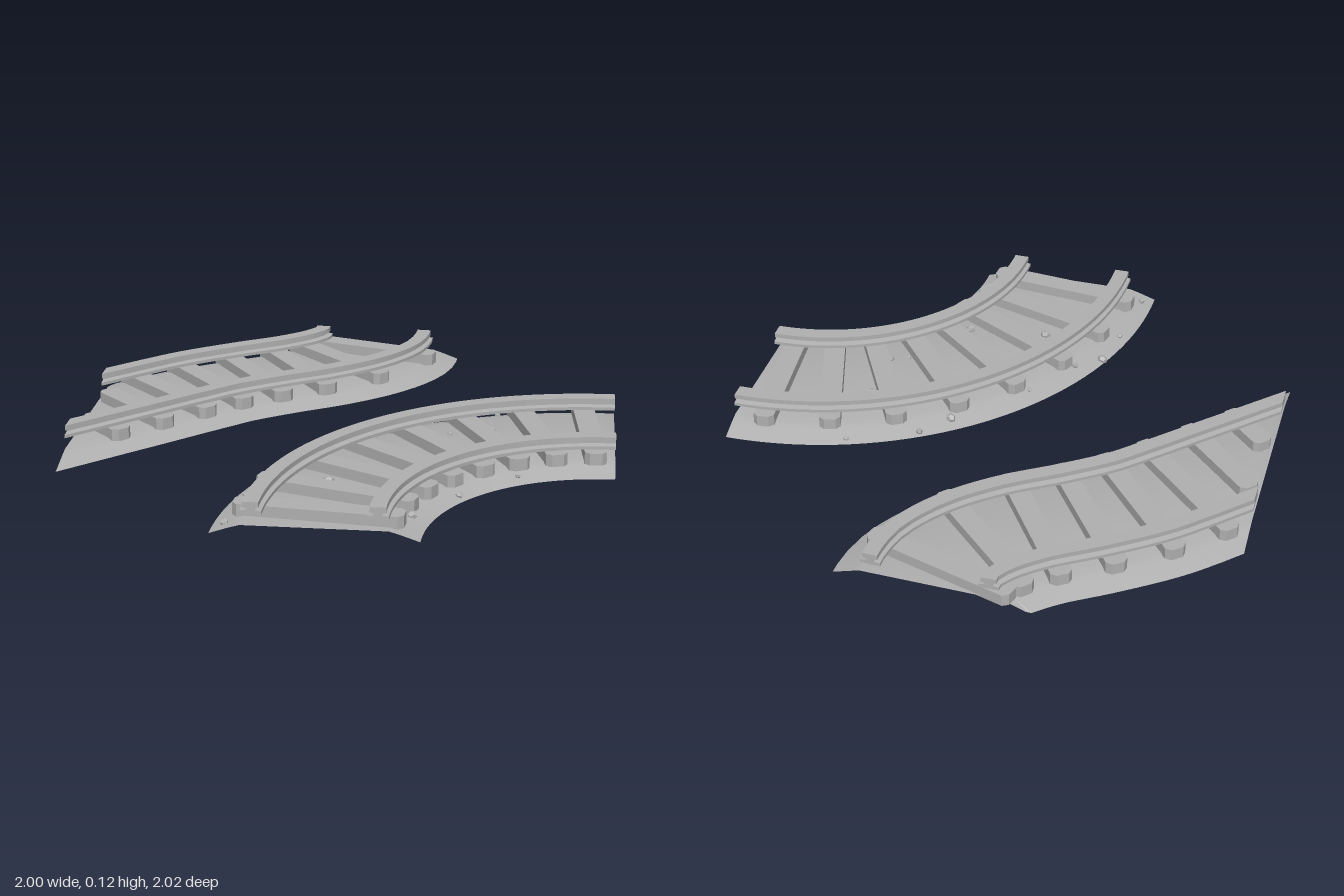
import * as THREE from 'three';
import { toCreasedNormals } from 'three/addons/utils/BufferGeometryUtils.js';

const stone = new THREE.MeshStandardMaterial({ color: 0xb0b0b0, side: THREE.DoubleSide });
stone.name = 'stone grey';

// Cross-sections as [sideways offset, height]
const BED = [[0.355, 0.002], [0.285, 0.026], [0.25, 0.036], [-0.25, 0.036], [-0.285, 0.026], [-0.355, 0.002]];
const RAIL = [[-0.037, 0.076], [0.037, 0.076], [0.037, 0.088], [0.014, 0.092], [0.014, 0.098], [0.028, 0.102],
  [0.028, 0.12], [-0.028, 0.12], [-0.028, 0.102], [-0.014, 0.098], [-0.014, 0.092], [-0.037, 0.088]];

// Frame of a path at distance s: point, forward and sideways directions
function frameAt(path, s) {
  const u = THREE.MathUtils.clamp(s / path.length, 0, 1);
  const p = path.curve.getPointAt(u);
  const t = path.curve.getTangentAt(u);
  p.addScaledVector(t, s - u * path.length);
  return { p, t, n: new THREE.Vector3(t.z, 0, -t.x) };
}

// Sweep a profile along a path, with the end cut on a slant where asked
function sweep(path, profile, closed, shift = 0) {
  const steps = 40, rings = [], pos = [];
  for (let i = 0; i <= steps; i++) {
    const s = path.length * i / steps;
    const { p, t, n } = frameAt(path, s);
    const k = path.slant ? Math.max(0, 1 - (path.length - s) / 0.5) : 0;
    rings.push(profile.map(([d, y]) => {
      const v = p.clone().addScaledVector(n, d + shift).addScaledVector(t, (d + shift) * k);
      v.set(Math.max(-1, v.x), y, Math.max(-1, v.z));
      return v;
    }));
  }
  const tri = (...vs) => vs.forEach(v => pos.push(v.x, v.y, v.z));
  const m = profile.length;
  for (let i = 0; i < steps; i++) {
    for (let j = 0; j < (closed ? m : m - 1); j++) {
      const a = rings[i][j], b = rings[i][(j + 1) % m];
      const c = rings[i + 1][(j + 1) % m], d = rings[i + 1][j];
      tri(a, b, c);
      tri(a, c, d);
    }
  }
  if (closed) {
    const flat = profile.map(([d, y]) => new THREE.Vector2(d, y));
    for (const [a, b, c] of THREE.ShapeUtils.triangulateShape(flat, [])) {
      tri(rings[0][c], rings[0][b], rings[0][a]);
      tri(rings[steps][a], rings[steps][b], rings[steps][c]);
    }
  }
  const g = new THREE.BufferGeometry();
  g.setAttribute('position', new THREE.Float32BufferAttribute(pos, 3));
  return toCreasedNormals(g, 0.3);
}

// Sleeper block with chamfered ends, spanning offsets lo to hi
function sleeperGeometry(lo, hi) {
  const w = 0.04, c = Math.min(0.018, (hi - lo) / 3);
  const shape = new THREE.Shape([[lo, -w + c], [lo + c, -w], [hi - c, -w], [hi, -w + c],
    [hi, w - c], [hi - c, w], [lo + c, w], [lo, w - c]].map(([x, y]) => new THREE.Vector2(x, y)));
  const g = new THREE.ExtrudeGeometry(shape, { depth: 0.045, bevelEnabled: false });
  return g.rotateX(-Math.PI / 2);
}

function add(group, name, geometry) {
  const mesh = new THREE.Mesh(geometry, stone);
  mesh.name = name;
  group.add(mesh);
  return mesh;
}

// One complete piece of track
function buildTrack(name, path) {
  const track = new THREE.Group();
  track.name = name;
  add(track, 'gravelBed', sweep(path, BED, false));
  for (const side of [-1, 1]) add(track, side < 0 ? 'railA' : 'railB', sweep(path, RAIL, true, side * 0.213));
  const gap = Math.PI / 16;
  for (let s = gap / 2; s < path.length + 0.25; s += gap) {
    const lo = path.slant ? Math.max(-0.295, s + 0.04 - path.length) : -0.295;
    if (lo > 0.23 || (!path.slant && s > path.length)) continue;
    const { p, n } = frameAt(path, s);
    const sleeper = add(track, 'sleeper', sleeperGeometry(lo, 0.295));
    sleeper.position.set(p.x, 0.031, p.z);
    sleeper.rotation.y = Math.atan2(-n.z, n.x);
  }
  return track;
}

export function createModel() {
  const model = new THREE.Group();
  model.name = 'railTracks';

  // Quarter circle round the corner at (1, 1)
  const arc = new THREE.Curve();
  arc.getPoint = (u, v = new THREE.Vector3()) =>
    v.set(1 - Math.cos(u * Math.PI / 2), 0, 1 - Math.sin(u * Math.PI / 2));
  arc.getTangent = (u, v = new THREE.Vector3()) =>
    v.set(Math.sin(u * Math.PI / 2), 0, -Math.cos(u * Math.PI / 2));
  const bend = buildTrack('curvedTrack', { curve: arc, length: Math.PI / 2, slant: false });
  model.add(bend);

  // S-bend running into a diagonal, cut flush at x = -1
  const wave = new THREE.CatmullRomCurve3([[0, -1], [-0.003, -0.95], [-0.022, -0.88], [-0.1, -0.765],
    [-0.235, -0.645], [-0.42, -0.525], [-0.6, -0.395], [-0.7, -0.3], [-0.85, -0.15], [-1, 0]]
    .map(([x, z]) => new THREE.Vector3(x, 0, z)));
  model.add(buildTrack('waveTrack', { curve: wave, length: wave.getLength(), slant: true }));

  // Loose pebbles on the curved track
  const spots = [[0.555, -0.255], [0.305, -0.14], [0.21, -0.04], [0.39, 0.05], [0.36, 0.11], [0.545, 0.013],
    [-0.03, 0.215], [-0.16, 0.42], [-0.25, 0.51], [-0.28, 0.68], [-0.31, 0.945], [0, 0.575], [0.48, 0.28],
    [0.545, 0.25], [0.3, 0.53], [0.655, 0.405], [0.46, 0.6], [0.315, 0.83]];
  spots.forEach(([x, z], i) => {
    const d = Math.abs(Math.hypot(1 - x, 1 - z) - 1);
    const y = d < 0.25 ? 0.036 : 0.036 - (d - 0.25) * 0.32;
    const size = 0.011 + 0.004 * (i % 3);
    const pebble = add(bend, 'pebble', new THREE.DodecahedronGeometry(size, 0));
    pebble.position.set(x, y + size * 0.3, z);
    pebble.rotation.set(i, i * 2, 0);
    pebble.scale.set(1.1, 0.8, 0.9);
  });
  return model;
}
